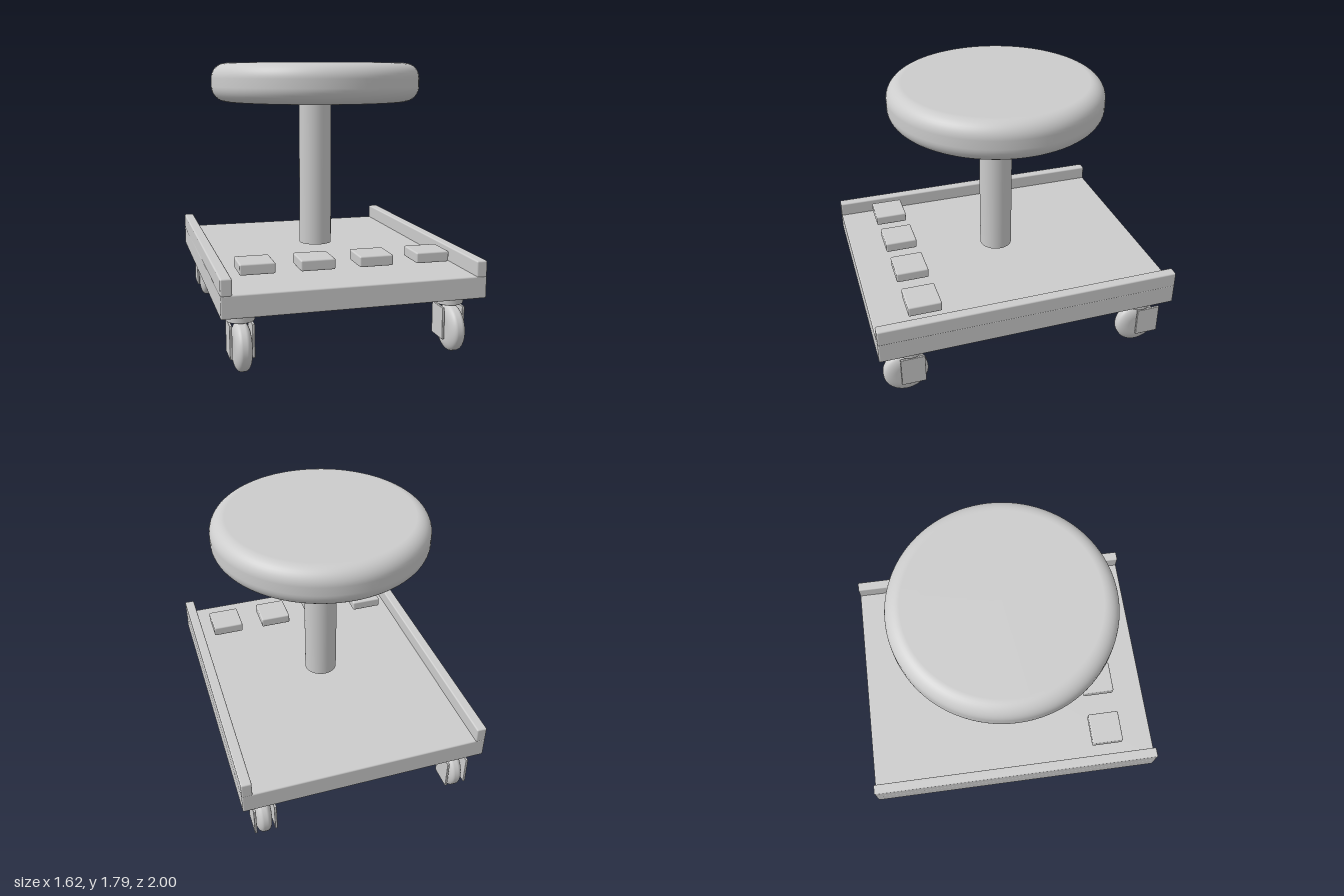
import * as THREE from 'three';
import { RoundedBoxGeometry } from 'three/addons/geometries/RoundedBoxGeometry.js';

export function createModel() {
  const group = new THREE.Group();
  group.name = 'rollingStool';
  const grey = new THREE.MeshStandardMaterial({ color: 0xcccccc });
  grey.name = 'light grey';

  const add = (parent, name, geometry, x = 0, y = 0, z = 0) => {
    const mesh = new THREE.Mesh(geometry, grey);
    mesh.name = name;
    mesh.position.set(x, y, z);
    parent.add(mesh);
    return mesh;
  };
  const box = (w, h, d, r = 0.01) => new RoundedBoxGeometry(w, h, d, 2, r);

  // Closed disc with rounded rims: r = radius, h = half height, a/b = rim rounding along radius/height
  const roundedDisc = (r, h, a, b, segments) => {
    const points = [new THREE.Vector2(0, -h)];
    const steps = 10;
    for (let i = 0; i <= steps; i++) {
      const t = (i / steps) * Math.PI / 2;
      points.push(new THREE.Vector2(r - a + a * Math.sin(t), -h + b - b * Math.cos(t)));
    }
    for (let i = 0; i <= steps; i++) {
      const t = (i / steps) * Math.PI / 2;
      points.push(new THREE.Vector2(r - a + a * Math.cos(t), h - b + b * Math.sin(t)));
    }
    points.push(new THREE.Vector2(0, h));
    return new THREE.LatheGeometry(points, segments);
  };

  // Seat and post
  add(group, 'seat', roundedDisc(0.702, 0.128, 0.1, 0.1, 96), 0, 1.672, 0);
  add(group, 'post', new THREE.CylinderGeometry(0.11, 0.11, 0.99, 48), 0, 1.06, 0);

  // Platform with side rails
  add(group, 'platform', box(1.624, 0.14, 2), 0, 0.45, 0);
  for (const side of [-1, 1]) {
    add(group, side > 0 ? 'leftRail' : 'rightRail', box(0.068, 0.105, 2), side * 0.778, 0.5625, 0);
  }

  // Row of four pads near the front edge
  for (let i = 0; i < 4; i++) {
    add(group, 'pad', box(0.216, 0.068, 0.216), -0.557 + i * 0.37, 0.598, 0.667);
  }

  // Casters: mounting plate, swivel, wheel and two fork plates
  const wheelGeometry = roundedDisc(0.147, 0.052, 0.075, 0.04, 48).rotateZ(Math.PI / 2);
  const swivelGeometry = roundedDisc(0.088, 0.029, 0.008, 0.008, 40);
  const rows = [
    { swivelZ: 0.785, wheelZ: 0.82, forkZ: 0.78 },
    { swivelZ: -0.816, wheelZ: -0.815, forkZ: -0.87 },
  ];
  for (const x of [-0.668, 0.664]) {
    for (const { swivelZ, wheelZ, forkZ } of rows) {
      const caster = new THREE.Group();
      caster.name = 'caster';
      caster.position.x = x;
      group.add(caster);
      add(caster, 'mountingPlate', box(0.19, 0.024, 0.19, 0.008), 0, 0.373, swivelZ);
      add(caster, 'swivel', swivelGeometry, 0, 0.333, swivelZ);
      add(caster, 'wheel', wheelGeometry, 0, 0.152, wheelZ);
      for (const side of [-1, 1]) {
        add(caster, 'forkPlate', box(0.016, 0.205, 0.16, 0.004), side * 0.067, 0.19, forkZ);
      }
    }
  }
  return group;
}
